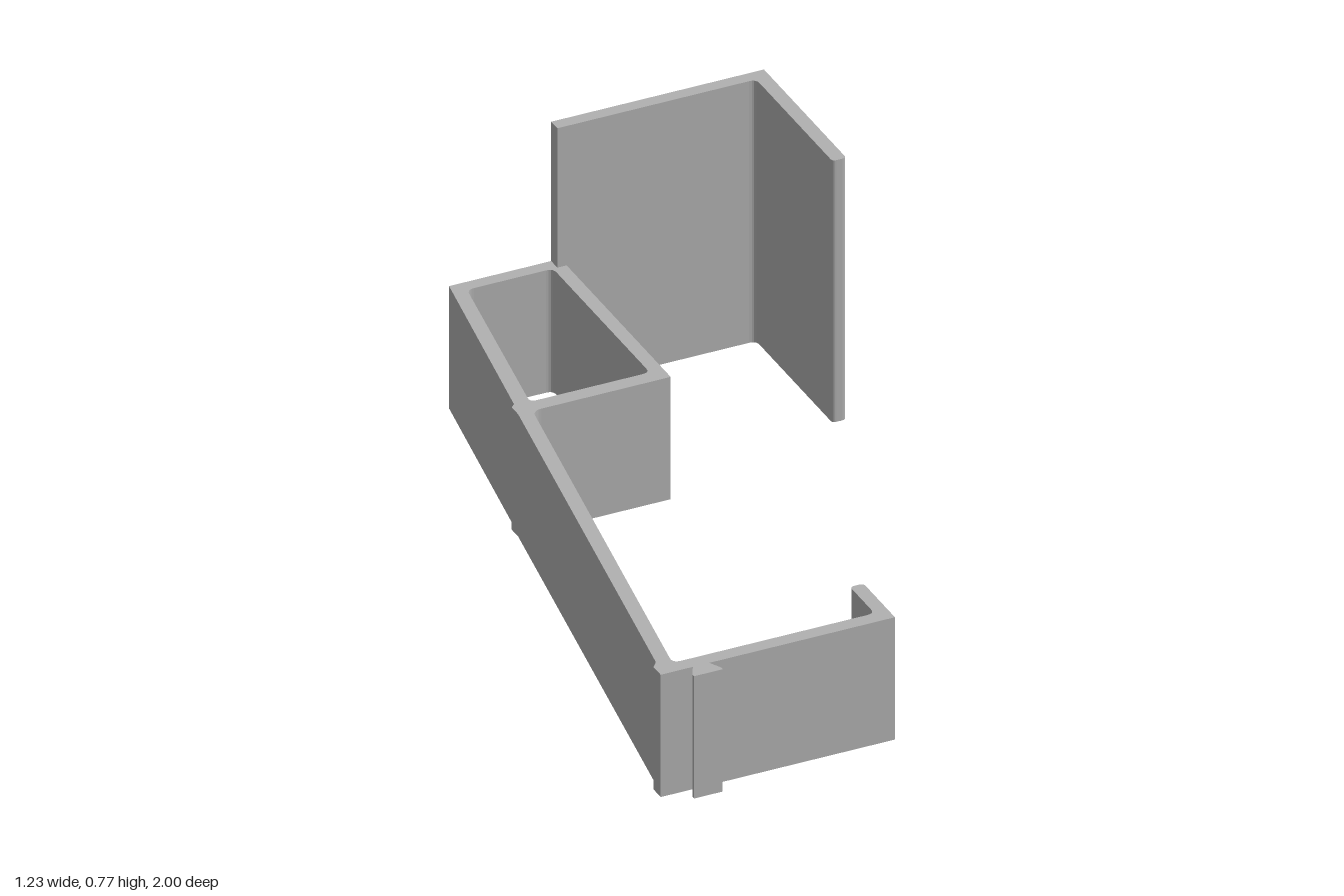
import * as THREE from 'three';

const LOW = 0.36, TALL = 0.77;

// Traces plan points [x, z, cornerRadius] as a closed path, rounding corners that have a radius
function trace(path, pts) {
  const n = pts.length;
  const at = (i) => new THREE.Vector2(pts[(i + n) % n][0], -pts[(i + n) % n][1]);
  pts.forEach((p, i) => {
    const c = at(i), r = p[2] || 0;
    const a = at(i - 1).sub(c).setLength(r).add(c);
    const b = at(i + 1).sub(c).setLength(r).add(c);
    if (i === 0) path.moveTo(a.x, a.y); else path.lineTo(a.x, a.y);
    if (r) path.quadraticCurveTo(c.x, c.y, b.x, b.y);
  });
  path.closePath();
  return path;
}

// Raises a plan outline to the given height
function wall(name, height, material, outline, hole) {
  const shape = trace(new THREE.Shape(), outline);
  if (hole) shape.holes.push(trace(new THREE.Path(), hole));
  const geo = new THREE.ExtrudeGeometry(shape, { depth: height, bevelEnabled: false, curveSegments: 5 });
  geo.rotateX(-Math.PI / 2);
  const mesh = new THREE.Mesh(geo, material);
  mesh.name = name;
  return mesh;
}

export function createModel() {
  const group = new THREE.Group();
  group.name = 'bracket';
  const grey = new THREE.MeshStandardMaterial({ color: 0xb0b0b0 });
  grey.name = 'grey';

  // Low frame: slanted arm, front hook and closed pocket
  group.add(wall('lowFrame', LOW, grey, [
    [-0.27, -1], [-0.373, -0.405], [-0.385, -0.393], [-0.385, -0.355],
    [-0.598, 0.895], [-0.614, 0.915], [-0.614, 0.957],
    [0.042, 0.957], [0.042, 0.773, 0.012], [0.004, 0.773, 0.012],
    [0.004, 0.917, 0.02], [-0.562, 0.917, 0.025],
    [-0.345, -0.355, 0.025], [0.042, -0.355], [0.042, -0.964],
    [0.016, -0.964], [0.016, -1],
  ], [
    [-0.237, -0.964, 0.02], [0.004, -0.964, 0.02],
    [0.004, -0.398, 0.02], [-0.332, -0.398, 0.02],
  ]));

  // Tall hook at the back
  group.add(wall('tallHook', TALL, grey, [
    [0.016, -1], [0.016, -0.964], [0.573, -0.964, 0.02],
    [0.573, -0.518, 0.012], [0.612, -0.518, 0.012], [0.612, -1],
  ]));

  // Flared rail on the front face
  group.add(wall('dovetailRail', LOW, grey, [
    [-0.523, 0.955], [-0.541, 0.99], [-0.541, 1],
    [-0.461, 1], [-0.461, 0.99], [-0.479, 0.955],
  ]));

  return group;
}
